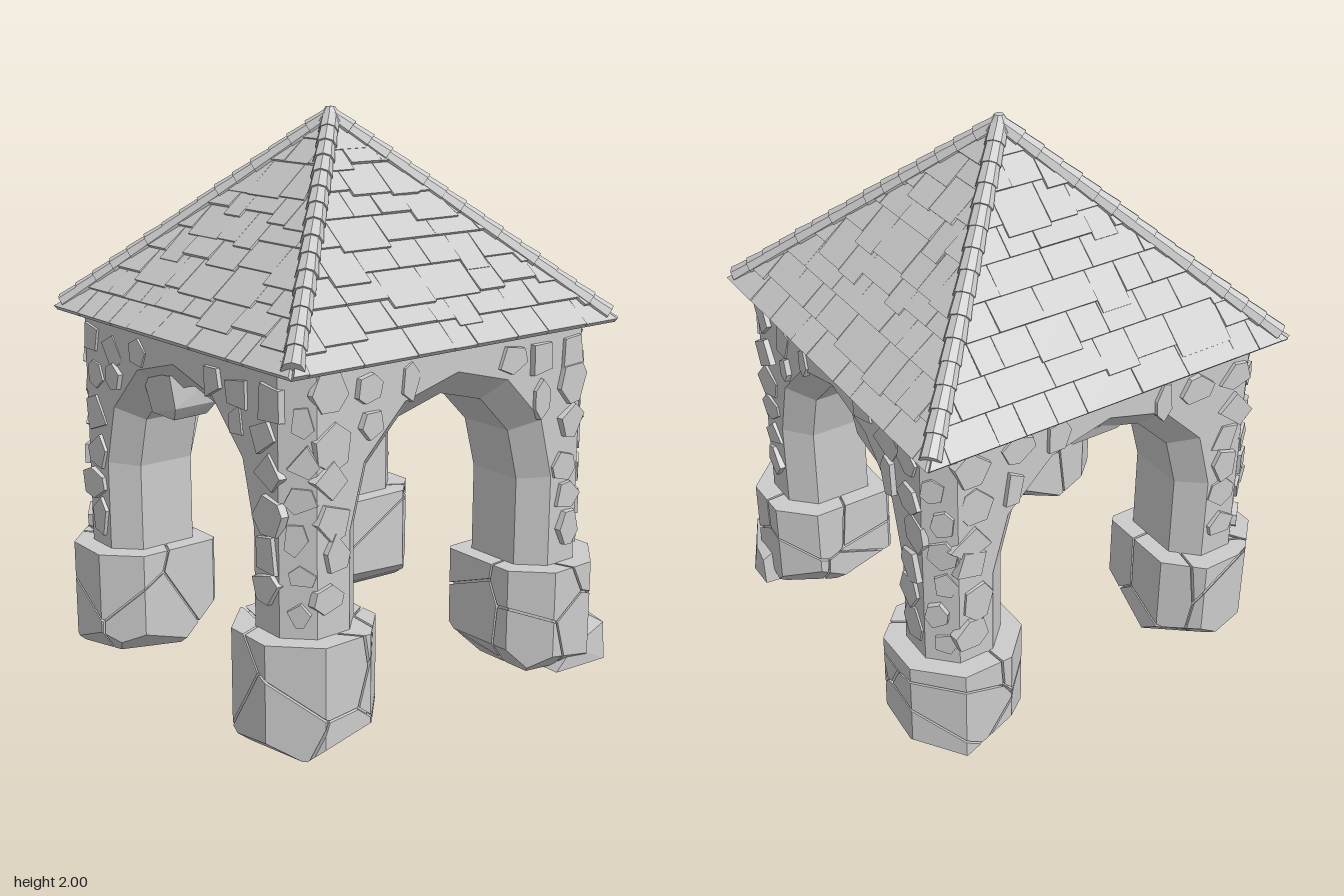
import * as THREE from 'three';
import { ConvexGeometry } from 'three/addons/geometries/ConvexGeometry.js';
import { mergeGeometries } from 'three/addons/utils/BufferGeometryUtils.js';

const V = (x, y, z) => new THREE.Vector3(x, y, z);
const mat = new THREE.MeshStandardMaterial({ color: 0xcccccc, flatShading: true });

let seed = 11;
const rnd = (a = 0, b = 1) => {
  seed = (seed * 16807) % 2147483647;
  return a + (b - a) * seed / 2147483647;
};

function add(parent, geo, name) {
  const m = new THREE.Mesh(geo, mat);
  m.name = name;
  parent.add(m);
  return m;
}

// Convex solid bounded by planes [normal, distance]
function solid(planes) {
  const pts = [];
  const n = planes.length;
  for (let i = 0; i < n; i++) for (let j = i + 1; j < n; j++) for (let k = j + 1; k < n; k++) {
    const [a, b, c] = [planes[i], planes[j], planes[k]];
    const bc = b[0].clone().cross(c[0]);
    const det = a[0].dot(bc);
    if (Math.abs(det) < 1e-3) continue;
    const p = bc.multiplyScalar(a[1])
      .addScaledVector(c[0].clone().cross(a[0]), b[1])
      .addScaledVector(a[0].clone().cross(b[0]), c[1]).divideScalar(det);
    if (planes.every(q => q[0].dot(p) < q[1] + 1e-5) && pts.every(q => q.distanceTo(p) > 2e-3)) pts.push(p);
  }
  return pts.length > 3 ? new ConvexGeometry(pts) : null;
}

// Footing: block with cut corners (least on the inner one), tapered below, cracked into chunks
function footing(parent, sx, sz) {
  const plane = (x, y, z, d) => [V(x, y, z).normalize(), d];
  const block = g => {
    const p = [plane(0, 1, 0, 0.2 - g), plane(0, -1, 0, 0.19 - g)];
    for (let i = 0; i < 8; i++) {
      const a = i * Math.PI / 4, x = Math.cos(a), z = Math.sin(a);
      const facing = x * sx + z * sz;
      const corner = facing > 1 ? 0.212 : facing < -1 ? 0.295 : 0.225;
      p.push(plane(x, 0, z, (i % 2 ? corner : 0.218) - g));
    }
    return p;
  };
  const hull = block(0), core = block(0.014);
  for (let i = 0; i < 5; i++) {
    const a = i * 1.257 + rnd(0, 0.7), d = rnd(0.23, 0.255);
    const q = [Math.cos(a), -rnd(0.75, 1.2), Math.sin(a)];
    hull.push(plane(...q, d));
    core.push(plane(...q, d - 0.014));
  }
  const seeds = Array.from({ length: 9 }, () => V(rnd(-0.2, 0.2), rnd(-0.18, 0.18), rnd(-0.2, 0.2)));
  const chunks = [solid(core)];
  for (const s of seeds) {
    const cuts = seeds.filter(t => t !== s).map(t => {
      const n = t.clone().sub(s).normalize();
      return [n, n.dot(s.clone().add(t).multiplyScalar(0.5)) - 0.004];
    });
    chunks.push(solid([...hull, ...cuts]));
  }
  add(parent, mergeGeometries(chunks.filter(Boolean)), 'footing').position.set(sx * 0.524, 0.2, sz * 0.522);
}

// Flat irregular stone lying on a wall plane at distance d
function stone(u, y, d, ru, rv) {
  const pts = [], n = 4 + Math.floor(rnd(0, 3)), a0 = rnd(0, 6), out = rnd(0.005, 0.02), tilt = rnd(-0.12, 0.12);
  for (let i = 0; i < n; i++) {
    const a = a0 + (i + rnd(-0.25, 0.25)) * 2 * Math.PI / n;
    const x = Math.cos(a) * ru, v = Math.sin(a) * rv;
    pts.push(V(u + x, y + v, d - 0.015), V(u + x * 0.95, y + v * 0.95, d + out + tilt * x));
  }
  return new ConvexGeometry(pts);
}

// Arched wall: the bevel makes the chamfers of arch and corners
const OUT = 0.67, IN = 0.37, CH = 0.085, SPRING = 0.72;
function archShape(half, shoulder, top) {
  const s = new THREE.Shape();
  s.moveTo(-half, 0.2);
  s.lineTo(-IN, 0.2);
  for (let i = 0; i <= 6; i++) {
    const a = Math.PI * (1 - i / 6);
    s.lineTo(IN * Math.cos(a), SPRING + IN * Math.sin(a));
  }
  s.lineTo(IN, 0.2);
  s.lineTo(half, 0.2);
  s.lineTo(half, shoulder);
  s.lineTo(half - 0.1, top);
  s.lineTo(0.1 - half, top);
  s.lineTo(-half, shoulder);
  return s;
}

function archWall() {
  return new THREE.ExtrudeGeometry(archShape(OUT, 1.285, 1.355), {
    depth: OUT - IN - 2 * CH, bevelEnabled: true, bevelSegments: 1,
    bevelSize: CH, bevelThickness: CH, bevelOffset: -CH,
  }).translate(0, 0, IN + CH);
}

// Square inner half of the arch
function archLining() {
  return new THREE.ExtrudeGeometry(archShape(OUT - CH - 0.002, 1.26, 1.29), { depth: 0.15, bevelEnabled: false })
    .translate(0, 0, IN);
}

function wallStones() {
  const list = [];
  for (let y = 0.53; y < 1.25; y += 0.128) {
    for (let i = 0; i < 8; i++) {
      const cu = (i - 3.5) * 0.1505 + rnd(-0.02, 0.02), cy = y + rnd(-0.025, 0.025);
      const gap = cy > SPRING ? Math.hypot(cu, cy - SPRING) : Math.abs(cu);
      const ru = Math.min(rnd(0.055, 0.085), gap - 0.455, 0.62 - Math.abs(cu));
      if (ru < 0.025) continue;
      list.push(stone(cu, cy, OUT, ru, Math.min(rnd(0.05, 0.085), 1.27 - cy, ru * 2)));
    }
  }
  return mergeGeometries(list);
}

function cornerStones() {
  const list = [];
  for (let y = 0.48; y < 1.22; y += 0.125) {
    list.push(stone(rnd(-0.02, 0.02), y, (2 * OUT - CH) / Math.SQRT2, rnd(0.04, 0.06), rnd(0.04, 0.065)));
  }
  return mergeGeometries(list);
}

// Roof slope: rows of uneven shingles, ends trimmed to the hips
const EAVE = 0.712, BASE = 1.264, RISE = 0.7;
const LEN = Math.hypot(EAVE, RISE), SIN = RISE / LEN, COS = EAVE / LEN;
function shingles() {
  const list = [], rows = 9, step = LEN / rows;
  for (let r = 0; r < rows; r++) {
    const s0 = r * step, half = EAVE * (1 - s0 / LEN);
    for (let u = -half - rnd(0, 0.06); u < half;) {
      const w = rnd(0.08, 0.22);
      const low = r && rnd() < 0.4 ? s0 - rnd(0.02, 0.05) : s0;
      const lift = rnd(0.012, 0.02);
      const g = new THREE.BoxGeometry(1, 1, 1);
      const p = g.attributes.position;
      for (let i = 0; i < p.count; i++) {
        const top = p.getY(i) > 0;
        const s = top ? s0 + step : low;
        const h = EAVE * (1 - s / LEN);
        const x = THREE.MathUtils.clamp(u + (p.getX(i) + 0.5) * w, -h, h);
        const n = p.getZ(i) > 0 ? (top ? 0.006 : lift) : -0.005;
        p.setXYZ(i, x, BASE + s * SIN + n * COS, EAVE - s * COS + n * SIN);
      }
      list.push(g);
      u += w + 0.002;
    }
  }
  return mergeGeometries(list);
}

// Overlapping ridge tiles along one hip
function hipTiles() {
  const list = [], n = 15;
  const a = V(0.688, 1.29, 0.688), b = V(0, 1.965, 0);
  const dir = b.clone().sub(a), len = dir.length() / n;
  const q = new THREE.Quaternion().setFromUnitVectors(V(0, 1, 0), dir.clone().normalize());
  for (let i = 0; i < n; i++) {
    const c = a.clone().addScaledVector(dir, (i + 0.5) / n);
    const k = rnd(0.95, 1.05);
    list.push(new THREE.CylinderGeometry(0.031, 0.037 * k, len * 1.12, 8).applyQuaternion(q).translate(c.x, c.y, c.z));
  }
  return mergeGeometries(list);
}

export function createModel() {
  const model = new THREE.Group();
  model.name = 'stonePavilion';
  const body = new THREE.Group();
  body.name = 'pavilion';
  body.position.x = -0.02;
  model.add(body);

  for (let k = 0; k < 4; k++) {
    const side = new THREE.Group();
    side.name = 'side';
    side.rotation.y = k * Math.PI / 2;
    body.add(side);
    add(side, archWall(), 'archWall');
    add(side, archLining(), 'archLining');
    add(side, wallStones(), 'wallStones');
    add(side, cornerStones(), 'cornerStones').rotation.y = Math.PI / 4;
    add(side, shingles(), 'shingles');
    add(side, hipTiles(), 'hipTiles');
    footing(body, k % 2 ? 1 : -1, k < 2 ? 1 : -1);
  }

  // Roof body and peak cap
  const roof = new THREE.ConeGeometry(EAVE * Math.SQRT2, RISE, 4).rotateY(Math.PI / 4);
  add(body, roof, 'roofBody').position.y = BASE + RISE / 2;
  add(body, new THREE.CylinderGeometry(0.016, 0.05, 0.05, 8), 'peakCap').position.y = 1.975;

  // Loose stones: one beside a footing, others under the arch crowns
  const slab = [V(0.47, 0, 0.46), V(0.78, 0, 0.5), V(0.78, 0, 0.61), V(0.7, 0, 0.74), V(0.47, 0, 0.72),
    V(0.78, 0.11, 0.51), V(0.77, 0.12, 0.59), V(0.7, 0.14, 0.73), V(0.54, 0.08, 0.73), V(0.66, 0.18, 0.5)];
  add(body, new ConvexGeometry(slab), 'looseSlab');
  for (const s of [-1, 1]) {
    const crown = [V(0.42, 1.12, -0.07), V(0.64, 1.12, -0.07), V(0.62, 1.0, -0.07), V(0.44, 1.0, -0.08),
      V(0.6, 0.95, -0.11), V(0.46, 0.95, -0.12), V(0.62, 0.96, -0.22), V(0.44, 0.96, -0.22),
      V(0.64, 1.1, -0.25), V(0.42, 1.1, -0.25)];
    add(body, new ConvexGeometry(crown.map(p => V(p.x * s, p.y, p.z))), 'hangingStone');
  }
  const small = [V(-0.16, 1.1, -0.42), V(0.14, 1.1, -0.42), V(-0.16, 1.1, -0.6), V(0.14, 1.1, -0.6),
    V(-0.12, 1.045, -0.45), V(0.1, 1.045, -0.45), V(-0.1, 1.05, -0.58), V(0.08, 1.05, -0.58), V(0.03, 1.02, -0.52)];
  add(body, new ConvexGeometry(small), 'hangingStone');
  return model;
}
